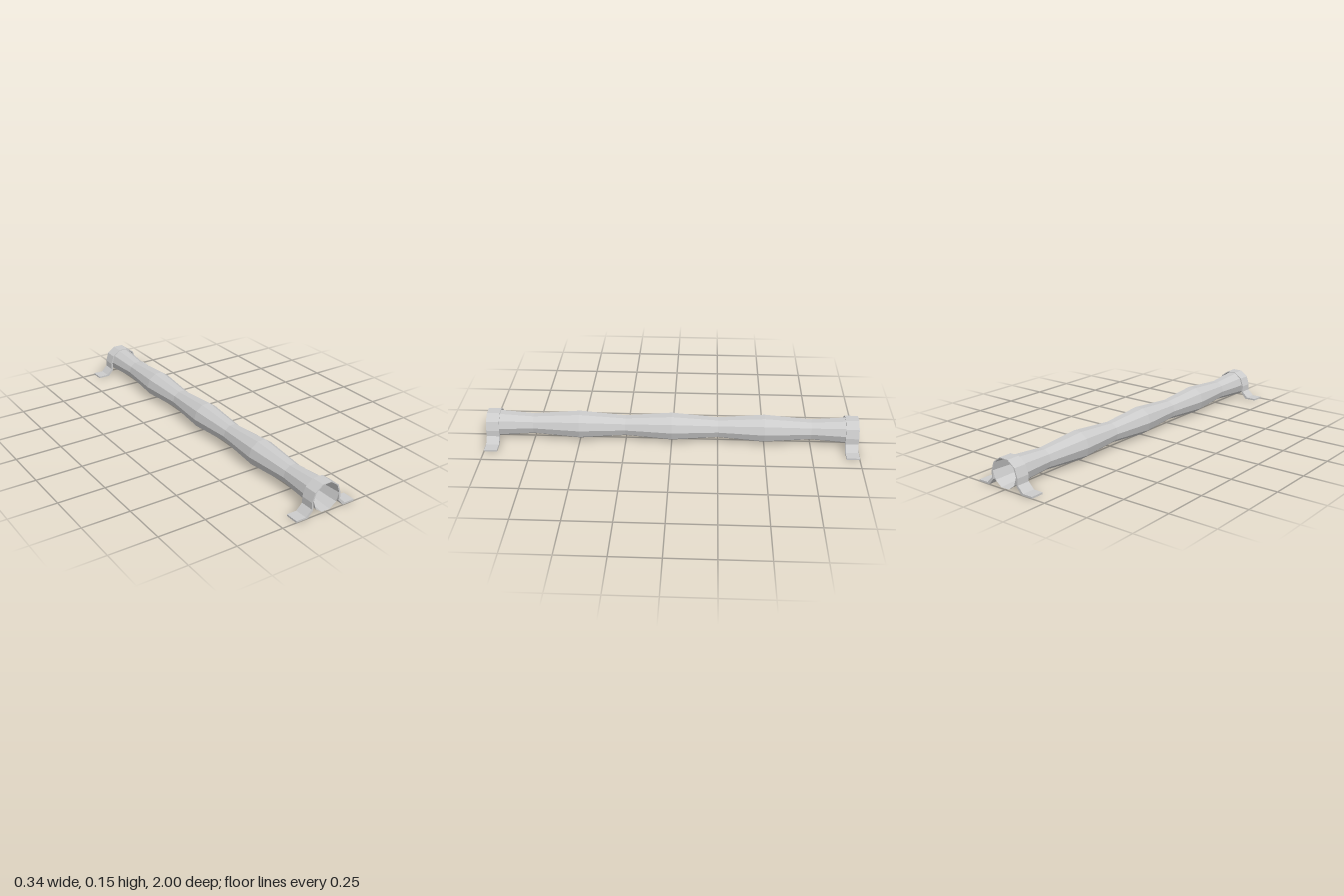
import * as THREE from 'three';

const AXIS_Y = 0.078;

export function createModel() {
  const model = new THREE.Group();
  const pipeMaterial = new THREE.MeshStandardMaterial({ color: 0xcccccc, flatShading: true, side: THREE.DoubleSide });
  const clampMaterial = new THREE.MeshStandardMaterial({ color: 0xcccccc, flatShading: true });

  // Open ten-sided pipe that swells and narrows along its length
  const profile = [];
  for (let i = 0; i <= 8; i++) {
    profile.push(new THREE.Vector2(i % 2 === 0 ? 0.0755 : 0.0557, -1 + i * 0.25));
  }
  const pipeGeometry = new THREE.LatheGeometry(profile, 10, Math.PI / 2);
  pipeGeometry.rotateX(Math.PI / 2);
  const pipe = new THREE.Mesh(pipeGeometry, pipeMaterial);
  pipe.name = 'pipe';
  pipe.position.y = AXIS_Y;
  model.add(pipe);

  // Bent strap over each pipe end, with flat feet; half outlines are mirrored
  const outer = [[0.172, 0.009], [0.117, 0.009], [0.085, 0.041], [0.085, 0.075], [0.069, 0.122], [0.0265, 0.153]];
  const inner = [[0.0245, 0.1495], [0.062, 0.1215], [0.0765, 0.077], [0.0765, 0.033], [0.106, 0], [0.172, 0]];
  const mirror = (points) => points.map(([x, y]) => [-x, y]).reverse();
  const outline = [...outer, ...mirror(outer), ...mirror(inner), ...inner];
  const strapShape = new THREE.Shape(outline.map(([x, y]) => new THREE.Vector2(x, y)));
  const strapGeometry = new THREE.ExtrudeGeometry(strapShape, { depth: 0.07, bevelEnabled: false });

  for (const [name, z] of [['frontClamp', 0.93], ['backClamp', -1]]) {
    const clamp = new THREE.Mesh(strapGeometry, clampMaterial);
    clamp.name = name;
    clamp.position.z = z;
    model.add(clamp);
  }
  return model;
}
